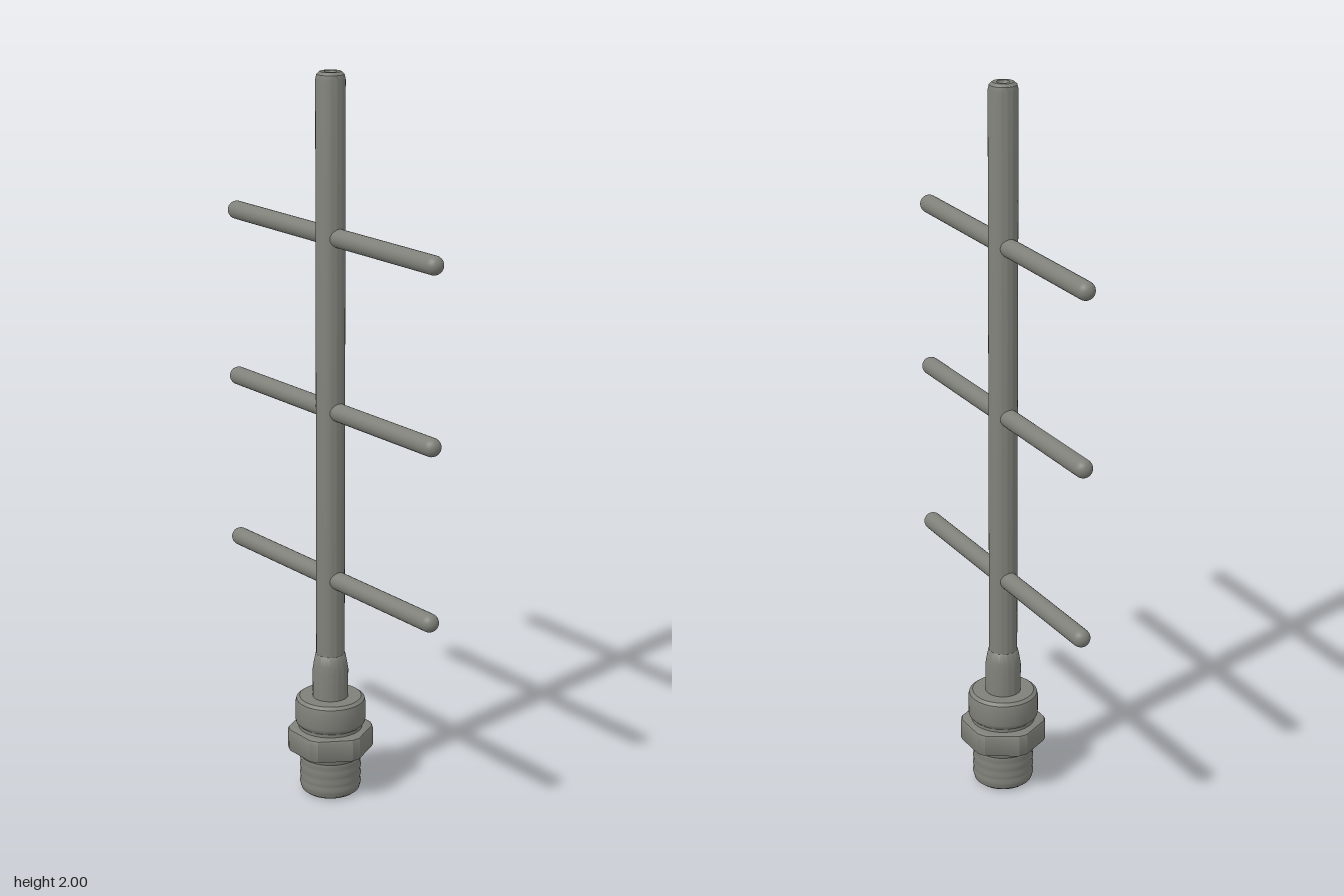
import * as THREE from 'three';
import { toCreasedNormals } from 'three/addons/utils/BufferGeometryUtils.js';

const metal = new THREE.MeshStandardMaterial({ color: 0x80807a });
metal.name = 'grey metal';

function add(parent, name, geometry) {
  const mesh = new THREE.Mesh(geometry, metal);
  mesh.name = name;
  parent.add(mesh);
  return mesh;
}

// Turned part from [radius, height] points, listed from bottom to top
function turned(points, sides = 48) {
  const profile = points.map(([r, y]) => new THREE.Vector2(r, y));
  return toCreasedNormals(new THREE.LatheGeometry(profile, sides), 0.6);
}

// Hexagon with clipped corners pointing along x, flats facing z
function nutGeometry(flat, corner, height, bevel) {
  const half = Math.sqrt(corner * corner - flat * flat) - bevel * 0.5;
  const f = flat - bevel;
  const points = [];
  for (let i = 0; i < 6; i++) {
    const a = Math.PI / 2 + i * Math.PI / 3;
    for (const s of [-half, half]) {
      points.push(new THREE.Vector2(
        Math.cos(a) * f - Math.sin(a) * s,
        Math.sin(a) * f + Math.cos(a) * s));
    }
  }
  const geometry = new THREE.ExtrudeGeometry(new THREE.Shape(points), {
    depth: height - 2 * bevel, bevelThickness: bevel, bevelSize: bevel, bevelSegments: 2
  });
  geometry.translate(0, 0, bevel);
  geometry.rotateX(-Math.PI / 2);
  return toCreasedNormals(geometry, 0.4);
}

export function createModel() {
  const group = new THREE.Group();
  group.name = 'antenna';

  // Connector: recessed socket, lightly ridged plug
  const plug = [[0, 0.05], [0.035, 0.05], [0.035, 0.004], [0.04, 0], [0.07, 0], [0.08, 0.008]];
  for (let i = 0; i < 4; i++) {
    const y = 0.018 + i * 0.024;
    plug.push([0.083, y], [0.085, y + 0.008], [0.083, y + 0.016]);
  }
  plug.push([0.086, 0.112], [0.086, 0.14]);
  const connector = new THREE.Group();
  connector.name = 'connector';
  group.add(connector);
  add(connector, 'plug', turned(plug));
  add(connector, 'contactPin', turned([[0, 0.008], [0.013, 0.012], [0.017, 0.02], [0.017, 0.055]], 24));
  add(connector, 'nut', nutGeometry(0.108, 0.119, 0.068, 0.01)).position.y = 0.123;
  add(connector, 'collar', turned([
    [0.088, 0.18], [0.088, 0.2], [0.095, 0.207], [0.097, 0.215],
    [0.097, 0.262], [0.094, 0.274], [0.085, 0.281], [0, 0.281]
  ]));

  // Tapered sleeve between collar and mast
  add(group, 'sleeve', turned([
    [0.049, 0.275], [0.049, 0.36], [0.046, 0.38], [0.041, 0.405], [0.036, 0.41]
  ]));

  // Mast with a small dimple in its rounded top
  add(group, 'mast', turned([
    [0.039, 0.28], [0.039, 1.98], [0.036, 1.993], [0.028, 2],
    [0.017, 2], [0.013, 1.99], [0, 1.988]
  ]));

  // Cross rods with rounded ends
  const rodRadius = 0.025, rodHalf = 0.445;
  for (const y of [0.627, 1.102, 1.572]) {
    const rod = add(group, 'crossRod',
      new THREE.CapsuleGeometry(rodRadius, 2 * (rodHalf - rodRadius), 8, 24));
    rod.rotation.z = Math.PI / 2;
    rod.position.y = y;
  }

  return group;
}
